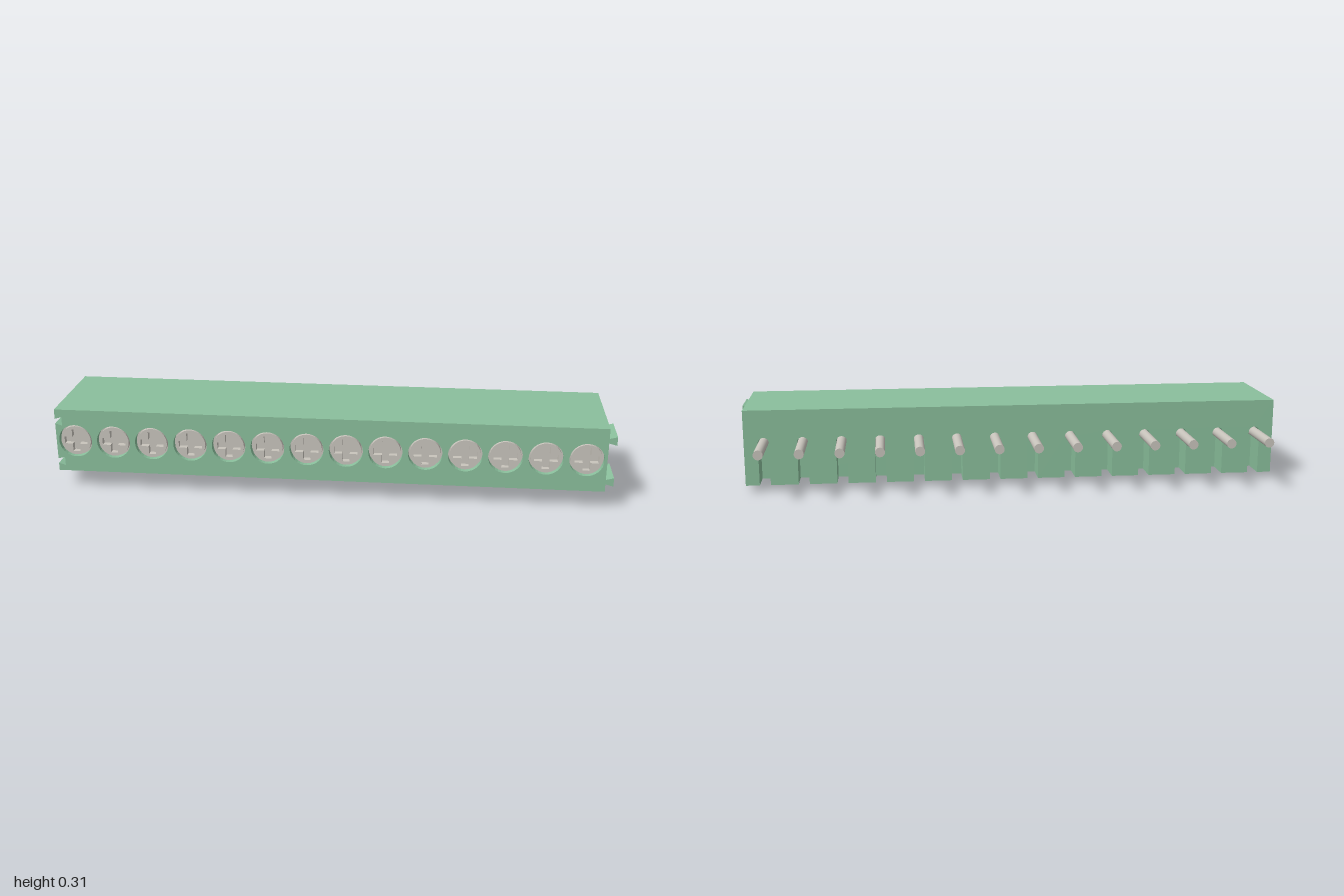
import * as THREE from 'three';

const COUNT = 14, X0 = -1, X1 = 0.972, PITCH = (X1 - X0) / COUNT;
const TOP = 0.305, FRONT = 0.277, BACK = -0.094, AXIS_Y = 0.183;
const RIB_Y = [0.105, 0.26];

const green = new THREE.MeshStandardMaterial({ color: 0x8abf9c });
const metal = new THREE.MeshStandardMaterial({ color: 0xc8c4bc });

const cellX = (i) => X0 + PITCH * (i + 0.5);

function polygon(points) {
  return new THREE.Shape(points.map(([x, y]) => new THREE.Vector2(x, y)));
}

// Extrude an x-y outline from z = z0 to z = z1
function extrudeZ(shape, z0, z1, curveSegments = 16) {
  const g = new THREE.ExtrudeGeometry(shape, { depth: z1 - z0, bevelEnabled: false, curveSegments });
  return g.translate(0, 0, z0);
}

// Extrude a side outline, drawn with x = -z, from x = x0 to x = x1
function extrudeX(shape, x0, x1) {
  const g = new THREE.ExtrudeGeometry(shape, { depth: x1 - x0, bevelEnabled: false, curveSegments: 8 });
  return g.rotateY(Math.PI / 2).translate(x0, 0, 0);
}

function crossPoints(r, w) {
  return [[w, w], [w, r], [-w, r], [-w, w], [-r, w], [-r, -w],
    [-w, -w], [-w, -r], [w, -r], [w, -w], [r, -w], [r, w]];
}

export function createModel() {
  const model = new THREE.Group();
  model.name = 'terminalBlock';
  const add = (name, geometry, material, parent = model) => {
    const mesh = new THREE.Mesh(geometry, material);
    mesh.name = name;
    parent.add(mesh);
    return mesh;
  };

  // Front housing: round screw wells, dovetail grooves in one end, sloping underside
  const outline = [[X0, 0.05], [X1, 0.05], [X1, TOP], [X0, TOP]];
  for (const y of [...RIB_Y].reverse()) {
    outline.push([X0, y + 0.009], [X0 + 0.025, y + 0.016], [X0 + 0.025, y - 0.016], [X0, y - 0.009]);
  }
  const frontShape = polygon(outline);
  for (let i = 0; i < COUNT; i++) {
    frontShape.holes.push(new THREE.Path().absarc(cellX(i), AXIS_Y + 0.003, 0.061, 0, Math.PI * 2, true));
  }
  const frontGeo = extrudeZ(frontShape, 0.145, FRONT);
  const pos = frontGeo.attributes.position;
  for (let i = 0; i < pos.count; i++) {
    if (pos.getY(i) < 0.055) pos.setY(i, 0.045 + 0.023 * (pos.getZ(i) - 0.135) / 0.142);
  }
  frontGeo.computeVertexNormals();
  add('frontHousing', frontGeo, green);

  // Middle housing with a stepped underside
  add('middleHousing', extrudeX(polygon([
    [-0.145, 0.0466], [-0.135, 0.045], [-0.02, 0.045], [-0.02, 0.025],
    [0, 0.025], [0, TOP], [-0.145, TOP],
  ]), X0, X1), green);

  // Rear housing with a slot open below each pin
  const rear = new THREE.Shape();
  const slot = 0.02;
  rear.moveTo(X0, 0.025);
  for (let i = 0; i < COUNT; i++) {
    const x = cellX(i);
    rear.lineTo(x - slot, 0.025);
    rear.lineTo(x - slot, AXIS_Y);
    rear.absarc(x, AXIS_Y, slot, Math.PI, 0, true);
    rear.lineTo(x + slot, 0.025);
  }
  rear.lineTo(X1, 0.025);
  rear.lineTo(X1, TOP);
  rear.lineTo(X0, TOP);
  add('rearHousing', extrudeZ(rear, BACK, 0), green);

  // Rounded feet on the cell boundaries, half width at both ends
  const foot = new THREE.Shape();
  foot.moveTo(-0.135, 0.046);
  foot.lineTo(-0.135, 0.018);
  foot.absarc(-0.117, 0.018, 0.018, Math.PI, Math.PI * 1.5, false);
  foot.lineTo(-0.038, 0);
  foot.absarc(-0.038, 0.018, 0.018, -Math.PI / 2, 0, false);
  foot.lineTo(-0.02, 0.046);
  const feet = new THREE.Group();
  feet.name = 'feet';
  model.add(feet);
  for (let i = 0; i <= COUNT; i++) {
    const x = X0 + PITCH * i;
    add('foot', extrudeX(foot, Math.max(X0, x - 0.017), Math.min(X1, x + 0.017)), green, feet);
  }

  // Dovetail ribs on the other end
  for (const y of RIB_Y) {
    add('dovetailRib', extrudeZ(polygon([
      [X1 - 0.002, y - 0.008], [1, y - 0.016], [1, y + 0.016], [X1 - 0.002, y + 0.008],
    ]), 0.145, FRONT), green);
  }

  // Screw heads with a stepped cross recess, and the pins
  const headShape = new THREE.Shape().absarc(0, 0, 0.055, 0, Math.PI * 2, false);
  headShape.holes.push(polygon(crossPoints(0.042, 0.013)));
  const innerShape = new THREE.Shape().absarc(0, 0, 0.055, 0, Math.PI * 2, false);
  innerShape.holes.push(polygon(crossPoints(0.026, 0.02)));
  const headGeo = extrudeZ(headShape, 0, 0.02);
  const baseGeo = new THREE.CylinderGeometry(0.061, 0.061, 0.02, 32).rotateX(Math.PI / 2).translate(0, 0, -0.01);
  const pinGeo = new THREE.CylinderGeometry(0.0175, 0.0175, 0.276, 24).rotateX(Math.PI / 2);
  for (let i = 0; i < COUNT; i++) {
    const screw = new THREE.Group();
    screw.name = 'screw';
    screw.position.set(cellX(i), AXIS_Y + 0.003, FRONT - 0.025);
    add('screwHead', headGeo, metal, screw);
    add('screwBase', baseGeo, metal, screw);
    model.add(screw);
    add('pin', pinGeo, metal).position.set(cellX(i), AXIS_Y, -0.138);
  }
  return model;
}
